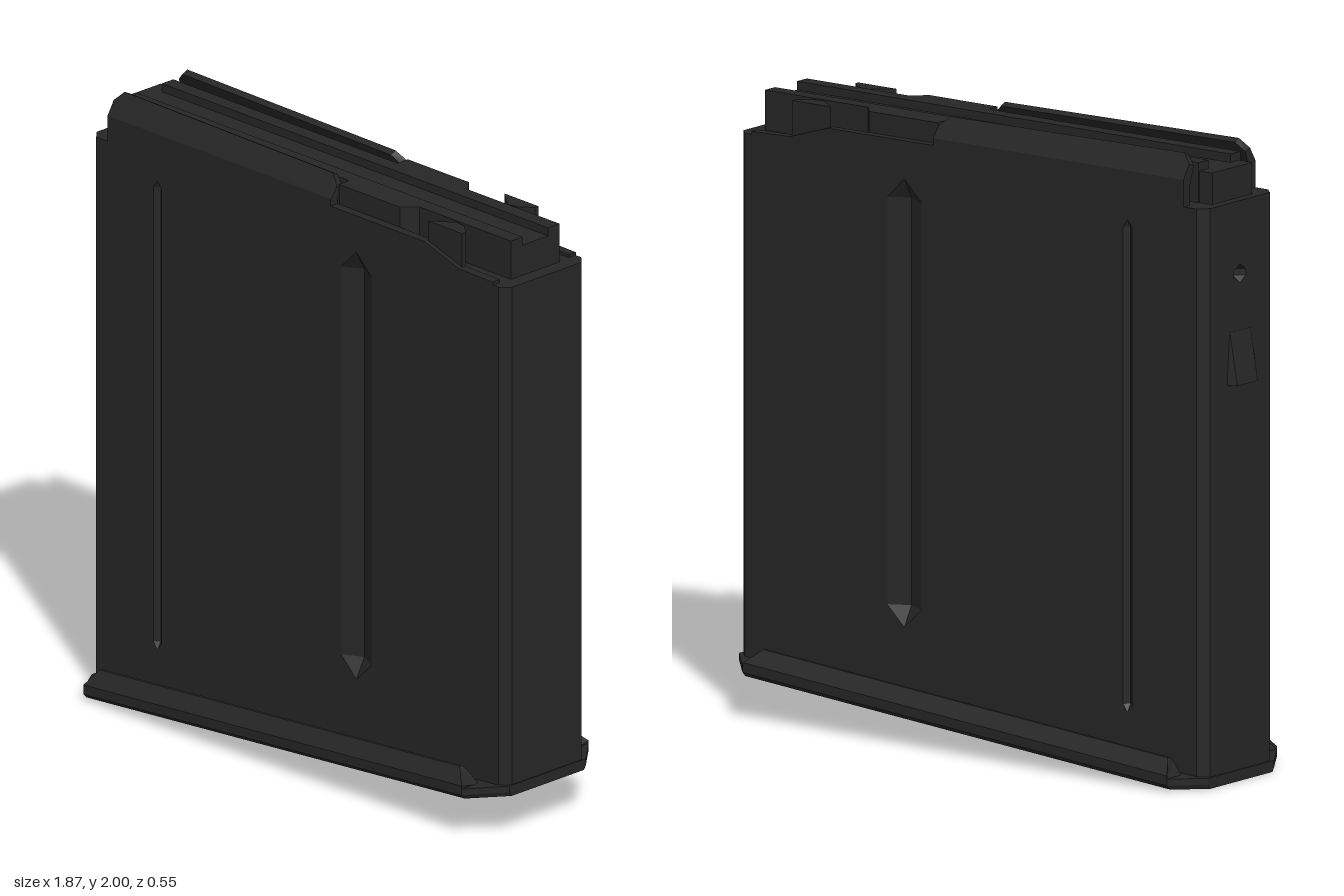
import * as THREE from 'three';
import { mergeGeometries } from 'three/addons/utils/BufferGeometryUtils.js';

// Flat-shaded geometry from convex polygons given as lists of [x, y, z]
function fromPolys(polys) {
  const pos = [];
  for (const p of polys)
    for (let i = 1; i < p.length - 1; i++) pos.push(...p[0], ...p[i], ...p[i + 1]);
  const g = new THREE.BufferGeometry();
  g.setAttribute('position', new THREE.Float32BufferAttribute(pos, 3));
  g.computeVertexNormals();
  return g;
}

// Closed solid through equal-length rings, counter-clockwise seen from the last ring
function loft(rings) {
  const n = rings[0].length;
  const polys = [[...rings[0]].reverse(), rings[rings.length - 1]];
  for (let i = 0; i < rings.length - 1; i++)
    for (let j = 0; j < n; j++) {
      const k = (j + 1) % n;
      polys.push([rings[i][j], rings[i][k], rings[i + 1][k], rings[i + 1][j]]);
    }
  return fromPolys(polys);
}

// Mirror across z = 0 and keep the faces pointing outward
function mirrorZ(geometry) {
  const g = geometry.index ? geometry.toNonIndexed() : geometry.clone();
  const p = g.attributes.position;
  const a = new THREE.Vector3(), b = new THREE.Vector3();
  g.scale(1, 1, -1);
  for (let i = 0; i < p.count; i += 3) {
    a.fromBufferAttribute(p, i + 1);
    b.fromBufferAttribute(p, i + 2);
    p.setXYZ(i + 1, b.x, b.y, b.z);
    p.setXYZ(i + 2, a.x, a.y, a.z);
  }
  g.computeVertexNormals();
  return g;
}

const shapeOf = (pts) => new THREE.Shape(pts.map(([x, y]) => new THREE.Vector2(x, y)));

// Flat panel facing +z with V-shaped grooves that have pointed ends
function groovedPanel(outline, grooves) {
  const shape = shapeOf(outline);
  const polys = [];
  for (const { x, w, y0, y1, tip, d } of grooves) {
    const B = [x, y0, 0], BR = [x + w, y0 + tip, 0], TR = [x + w, y1 - tip, 0];
    const T = [x, y1, 0], TL = [x - w, y1 - tip, 0], BL = [x - w, y0 + tip, 0];
    const V0 = [x, y0 + tip, -d], V1 = [x, y1 - tip, -d];
    shape.holes.push(new THREE.Path([B, BR, TR, T, TL, BL].map((p) => new THREE.Vector2(p[0], p[1]))));
    polys.push([B, BR, V0], [BR, TR, V1, V0], [TR, T, V1], [T, TL, V1], [TL, BL, V0, V1], [BL, B, V0]);
  }
  const flat = new THREE.ShapeGeometry(shape).toNonIndexed();
  flat.deleteAttribute('uv');
  return mergeGeometries([flat, fromPolys(polys)]);
}

// Plan outline [x, z] raised from y0 to y1
function raise(plan, y0, y1) {
  const g = new THREE.ExtrudeGeometry(shapeOf(plan.map(([x, z]) => [x, -z])), { depth: y1 - y0, bevelEnabled: false });
  return g.rotateX(-Math.PI / 2).translate(0, y0, 0);
}

export function createModel() {
  const root = new THREE.Group();
  const steel = new THREE.MeshStandardMaterial({ color: 0x262626, side: THREE.DoubleSide, flatShading: true });
  steel.name = 'blackened steel';

  const add = (name, g) => {
    const m = new THREE.Mesh(g, steel);
    m.name = name;
    root.add(m);
  };
  const addPair = (name, g) => {
    add(name + 'Left', g);
    add(name + 'Right', mirrorZ(g));
  };

  // The floor slopes up towards +x
  const floorY = (x, h = 0) => 0.005 + 0.08 * (x + 0.915) + h;

  // Box body: grooved sides, chamfered corners, end walls and top
  const TOP = 1.84, Z = 0.18, ZE = 0.15, XL = -0.91, XR = 0.925, SL = -0.88, SR = 0.895;
  addPair('sidePanel', groovedPanel(
    [[SL, floorY(SL, 0.02)], [SR, floorY(SR, 0.02)], [SR, TOP], [SL, TOP]],
    [
      { x: 0.268, w: 0.067, y0: 0.36, y1: 1.78, tip: 0.065, d: 0.035 },
      { x: -0.61, w: 0.018, y0: 0.21, y1: 1.77, tip: 0.025, d: 0.015 },
    ]).translate(0, 0, Z));
  const wall = (x0, z0, x1, z1) => [
    [x0, floorY(x0, 0.02), z0], [x1, floorY(x1, 0.02), z1], [x1, TOP, z1], [x0, TOP, z0]];
  addPair('cornerChamfers', fromPolys([wall(SR, Z, XR, ZE), wall(XL, ZE, SL, Z)]));
  add('frontEndWall', fromPolys([wall(XR, ZE, XR, -ZE)]));
  add('rearEndWall', groovedPanel(
    [[-ZE, floorY(XL, 0.02)], [ZE, floorY(XL, 0.02)], [ZE, TOP], [-ZE, TOP]],
    [{ x: 0, w: 0.03, y0: 1.58, y1: 1.64, tip: 0.02, d: 0.03 }]).rotateY(-Math.PI / 2).translate(XL, 0, 0));
  add('bodyTop', fromPolys([[
    [SR, TOP, Z], [XR, TOP, ZE], [XR, TOP, -ZE], [SR, TOP, -Z],
    [SL, TOP, -Z], [XL, TOP, -ZE], [XL, TOP, ZE], [SL, TOP, Z]]]));

  // Upper side walls, cut away towards +x
  addPair('upperWall', new THREE.ExtrudeGeometry(
    shapeOf([[-0.83, TOP], [0.87, TOP], [0.87, 1.85], [0.72, 1.853], [0.57, 1.9], [-0.83, 1.905]]),
    { depth: 0.03, bevelEnabled: false }).translate(0, 0, Z - 0.03));

  // Feed lips leaning inward, with clipped ends
  const lipRing = (x, t, drop) => [
    [x, 1.92, 0.15], [x, 1.92 + 0.07 * t - drop, 0.15 - 0.035 * t],
    [x, 1.925 + 0.075 * t - drop, 0.18 - 0.045 * t],
    [x, 1.925, 0.18], [x, 1.895, 0.18], [x, 1.895, 0.15]];
  addPair('feedLip', loft([
    lipRing(-0.83, 0.6, 0), lipRing(-0.8, 1, 0), lipRing(0.12, 1, 0.01), lipRing(0.155, 0.6, 0.01)]));

  // Follower: low centre channel between two raised rails
  add('followerChannel', raise([[-0.88, 0.1], [0.875, 0.1], [0.875, -0.1], [-0.88, -0.1]], TOP, 1.94));
  addPair('followerRail', raise([
    [-0.83, 0.055], [0.875, 0.055], [0.875, 0.105], [0.47, 0.105],
    [0.43, 0.15], [0.16, 0.15], [0.16, 0.105], [-0.83, 0.105]], TOP, 1.967));
  addPair('guideNub', raise([[0.57, 0.165], [0.6, 0.14], [0.64, 0.11], [0.68, 0.115], [0.72, 0.15], [0.72, 0.165]], TOP, 1.965));

  // Catch wedge on the rear end wall
  const catchRing = (y, x, z) => [[-0.9, y, z], [-0.9, y, -z], [x, y, -z * 0.75], [x, y, z * 0.75]];
  add('catchWedge', loft([catchRing(1.265, -0.94, 0.068), catchRing(1.43, -0.911, 0.068)]));

  // Sloped base plate with a bevelled lower edge
  const plan = [[0.83, 0.275], [0.93, 0.165], [0.93, -0.165], [0.83, -0.275],
    [-0.84, -0.275], [-0.915, -0.165], [-0.915, 0.165], [-0.84, 0.275]];
  const baseRing = (h, k) => plan.map(([x, z]) => [x, floorY(x, h), z * k]);
  add('basePlate', loft([baseRing(0, 0.95), baseRing(0.014, 1), baseRing(0.035, 1)]));

  // Raised rails along both sides of the base plate: [z, height, rear x, front x]
  const rail = [[0.2, 0.03, -0.84, 0.83], [0.205, 0.075, -0.81, 0.78], [0.225, 0.09, -0.81, 0.78],
    [0.235, 0.09, -0.81, 0.78], [0.275, 0.045, -0.84, 0.83], [0.275, 0.03, -0.84, 0.83]];
  const railRing = (c) => rail.map((r) => [r[c], floorY(r[c], r[1]), r[0]]);
  addPair('baseRail', loft([railRing(2), railRing(3)]));

  return root;
}
